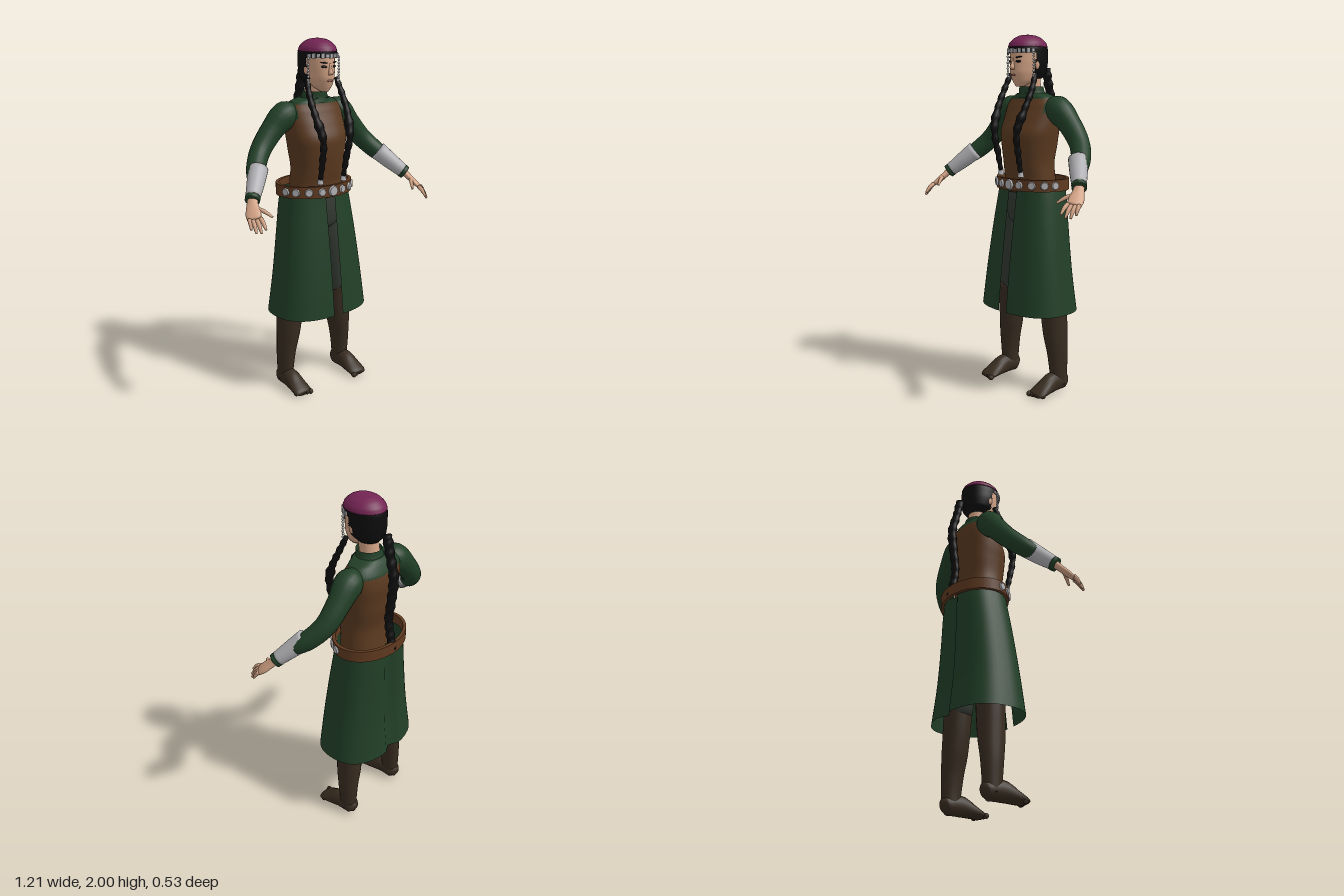
import * as THREE from 'three';

const mat = (name, color, side = THREE.FrontSide) => {
  const m = new THREE.MeshStandardMaterial({ color, side });
  m.name = name;
  return m;
};

export function createModel() {
  const root = new THREE.Group();
  root.name = 'dressedFigure';
  const M = {
    skin: mat('skin', 0xd2a284), lip: mat('lip', 0x9c6455), hair: mat('hair black', 0x0d0d0d, THREE.DoubleSide),
    cap: mat('cap plum', 0x732453), green: mat('dress green', 0x213f27, THREE.DoubleSide),
    vest: mat('vest brown', 0x5b3a20), belt: mat('belt leather', 0x603a20), silver: mat('silver', 0xb2b2b6),
    boot: mat('boot brown', 0x382c20), trouser: mat('trouser grey', 0x343a33),
  };
  const add = (name, geometry, material, x = 0, y = 0, z = 0, parent = root) => {
    const m = new THREE.Mesh(geometry, material);
    m.name = name;
    m.position.set(x, y, z);
    parent.add(m);
    return m;
  };

  // Lofts superelliptic rings through points [x, y, z, ru, rv].
  // flat: rings stay level; u: width direction; slit: half width of a front opening;
  // pick: material slot for a face (-1 drops it); warp: moves a vertex.
  function loft(pts, o = {}) {
    const { n = 20, steps = 4, p = 2, flat = false, bump = 0, slit = 0, pick, warp } = o;
    const path = new THREE.CatmullRomCurve3(pts.map(a => new THREE.Vector3(a[0], a[1], a[2])));
    const size = new THREE.CatmullRomCurve3(pts.map(a => new THREE.Vector3(a[3], a[4] ?? a[3], 0)));
    const count = (pts.length - 1) * steps, pos = [], cols = slit ? n + 1 : n;
    const pw = c => Math.sign(c) * Math.pow(Math.abs(c), 2 / p);
    for (let i = 0; i <= count; i++) {
      const t = i / count, c = path.getPoint(t), r = size.getPoint(t);
      const d = flat ? new THREE.Vector3(0, 1, 0) : path.getTangent(t);
      const u = new THREE.Vector3(...(o.u || [1, 0, 0]));
      u.addScaledVector(d, -u.dot(d)).normalize();
      const v = u.clone().cross(d);
      const k = 1 + bump * Math.sin(i * Math.PI / 2);
      const gap = slit ? Math.asin(Math.pow(slit / r.x, p / 2)) : 0;
      for (let j = 0; j < cols; j++) {
        const a = slit ? Math.PI / 2 + gap + (2 * Math.PI - 2 * gap) * j / n : 2 * Math.PI * j / n;
        const q = c.clone().addScaledVector(u, pw(Math.cos(a)) * r.x * k).addScaledVector(v, pw(Math.sin(a)) * r.y * k);
        if (warp) warp(q);
        pos.push(q.x, q.y, q.z);
      }
    }
    const slots = [[], []];
    const face = (a, b, c) => {
      const mid = k => (pos[a * 3 + k] + pos[b * 3 + k] + pos[c * 3 + k]) / 3;
      const s = pick ? pick(mid(0), mid(1), mid(2)) : 0;
      if (s >= 0) slots[s].push(a, b, c);
    };
    for (let i = 0; i < count; i++) for (let j = 0; j < n; j++) {
      const a = i * cols + j, b = i * cols + (j + 1) % cols;
      face(a, a + cols, b);
      face(b, a + cols, b + cols);
    }
    if (!slit && !o.open) {
      const e = count * cols, base = pos.length / 3;
      pos.push(...pts[0].slice(0, 3), ...pts[pts.length - 1].slice(0, 3));
      for (let j = 0; j < n; j++) {
        face(base, j, (j + 1) % n);
        face(base + 1, e + (j + 1) % n, e + j);
      }
    }
    const g = new THREE.BufferGeometry();
    g.setAttribute('position', new THREE.Float32BufferAttribute(pos, 3));
    g.setIndex([...slots[0], ...slots[1]]);
    g.addGroup(0, slots[0].length, 0);
    g.addGroup(slots[0].length, slots[1].length, 1);
    g.computeVertexNormals();
    return g;
  }

  // Torso: brown vest with green yoke and collar
  add('torso', loft([[0, 1.14, -.065, .16, .12], [0, 1.22, -.06, .155, .115], [0, 1.3, -.052, .15, .12],
    [0, 1.4, -.055, .16, .135], [0, 1.47, -.058, .17, .138], [0, 1.55, -.08, .175, .125],
    [0, 1.62, -.092, .173, .103], [0, 1.665, -.088, .14, .08], [0, 1.685, -.078, .085, .073]], {
    n: 40, steps: 6, p: 2.4, flat: true,
    pick: (x, y, z) => (y > 1.655 || (z < -.1 && y > 1.615) || (Math.abs(x) > .145 && y > 1.58) ? 1 : 0),
  }), [M.vest, M.green]);
  add('collar', loft([[0, 1.66, -.078, .095, .08], [0, 1.69, -.074, .075, .07], [0, 1.72, -.07, .068, .067]],
    { flat: true, open: true }), M.green);
  add('neck', loft([[0, 1.66, -.08, .057], [0, 1.72, -.072, .053], [0, 1.8, -.06, .055]], { flat: true }), M.skin);

  // Long skirt, slit in front and creased behind
  add('skirt', loft([[0, .47, -.055, .295, .21], [0, .7, -.055, .265, .186], [0, .95, -.066, .232, .166],
    [0, 1.1, -.076, .21, .155], [0, 1.18, -.078, .195, .148]], {
    n: 56, p: 2.5, flat: true, slit: .03,
    warp: q => { if (q.z < -.12) q.z += .035 * Math.exp(-((q.x / .035) ** 2)); },
  }), M.green);
  add('hips', loft([[0, .93, -.07, .06, .06], [0, .98, -.07, .15, .11], [0, 1.08, -.07, .17, .125],
    [0, 1.15, -.07, .165, .12]], { flat: true }), M.trouser);

  // Hollow belt ring with silver discs
  const ring = new THREE.Shape().absellipse(0, 0, .23, .178, 0, Math.PI * 2);
  ring.holes.push(new THREE.Path().absellipse(0, 0, .212, .16, 0, Math.PI * 2));
  const beltGeo = new THREE.ExtrudeGeometry(ring, { depth: .065, bevelEnabled: false, curveSegments: 40 });
  add('belt', beltGeo.rotateX(-Math.PI / 2), M.belt, 0, 1.155, -.08);
  for (const x of [0, -.07, .07, -.14, .14, -.195, .195, -.224, .224]) {
    const c = Math.sqrt(1 - (x / .23) ** 2), r = x ? .025 : .033;
    const disc = add('beltDisc', new THREE.CylinderGeometry(r * .8, r, .014, 8).rotateX(Math.PI / 2), M.silver,
      x, 1.188, -.08 + .178 * c + .003);
    disc.rotation.y = Math.atan2(x / .23 ** 2, c / .178);
  }

  // Head and face
  add('head', loft([[0, 1.722, .015, .02, .026], [0, 1.75, -.003, .05, .058], [0, 1.8, -.027, .071, .099],
    [0, 1.86, -.04, .08, .11], [0, 1.92, -.045, .082, .11], [0, 1.96, -.045, .06, .08]],
    { n: 32, flat: true }), M.skin);
  add('nose', loft([[0, 1.812, .065, .014, .008], [0, 1.822, .073, .015, .016], [0, 1.845, .069, .009, .012],
    [0, 1.872, .062, .006, .008]], { n: 10, flat: true }), M.skin);
  const dot = (name, m, x, y, z, a, b, c, ry = 0, rz = 0) => {
    const d = add(name, new THREE.SphereGeometry(1, 12, 8), m, x, y, z);
    d.scale.set(a, b, c);
    d.rotation.set(0, ry, rz);
  };
  dot('mouth', M.lip, 0, 1.782, .068, .02, .006, .006);
  for (const s of [-1, 1]) {
    dot('eye', M.hair, s * .034, 1.856, .06, .016, .007, .005, s * .45);
    dot('eyebrow', M.hair, s * .036, 1.878, .06, .02, .004, .005, s * .45, s * .12);
    dot('ear', M.skin, s * .086, 1.84, -.03, .01, .026, .016);
  }

  // Hair, open over the face, and the rounded cap
  add('hair', loft([[0, 1.765, -.07, .055, .06], [0, 1.8, -.06, .084, .098], [0, 1.86, -.05, .097, .114],
    [0, 1.92, -.045, .098, .118], [0, 1.955, -.043, .088, .106]], {
    n: 48, steps: 6, flat: true,
    pick: (x, y, z) => ((y < 1.9 && z > -.015) || (y < 1.8 && z > -.06 && Math.abs(x) < .05) ? -1 : 0),
  }), M.hair);
  add('cap', loft([[0, 1.932, -.043, .099, .119], [0, 1.955, -.043, .093, .109], [0, 1.98, -.043, .07, .083],
    [0, 1.995, -.043, .04, .05], [0, 2, -.043, .008, .01]], { n: 32, flat: true }), M.cap);

  // Silver headband and hanging side chains
  for (let i = -5; i <= 5; i++) {
    const a = i * .23, plate = add('headbandPlate', new THREE.BoxGeometry(.019, i % 2 ? .02 : .026, .008), M.silver,
      .1 * Math.sin(a), 1.912, -.045 + .122 * Math.cos(a));
    plate.rotation.y = a;
  }
  for (const s of [-1, 1]) {
    for (let i = 0; i < 8; i++) dot('chainBead', M.silver, s * (.102 + .002 * (i % 2)), 1.9 - i * .016, .012, .007, .007, .007);
    dot('earPendant', M.silver, s * .1, 1.77, .01, .01, .013, .008);
  }

  // Braids
  add('backBraid', loft([[0, 1.17, -.245, .018, .016], [0, 1.24, -.225, .024, .022], [0, 1.34, -.21, .026, .02],
    [0, 1.47, -.225, .026, .023], [0, 1.6, -.235, .028, .024], [0, 1.72, -.208, .028, .022],
    [0, 1.82, -.185, .026, .026]], { n: 12, steps: 8, bump: .12 }), M.hair);
  for (const s of [-1, 1]) {
    add('frontBraid', loft([[s * .08, 1.26, .088, .012], [s * .082, 1.36, .108, .017], [s * .09, 1.48, .126, .018],
      [s * .108, 1.6, .085, .018], [s * .11, 1.7, .035, .017], [s * .098, 1.79, -.005, .014]],
      { n: 10, steps: 8, bump: .15 }), M.hair);
    add('braidTip', new THREE.CylinderGeometry(.012, .018, .035, 8), M.silver, s * .08, 1.252, .087);
  }

  // Arms, cuffs and hands
  for (const s of [-1, 1]) {
    const arm = new THREE.Group();
    arm.name = s > 0 ? 'leftArm' : 'rightArm';
    root.add(arm);
    const part = (name, pts, m, o) => add(name, loft(pts.map(([x, ...r]) => [x * s, ...r]), o), m, 0, 0, 0, arm);
    part('sleeve', [[.12, 1.615, -.095, .05], [.185, 1.595, -.095, .076], [.262, 1.525, -.1, .063],
      [.35, 1.425, -.085, .056], [.415, 1.35, -.03, .052], [.46, 1.3, .03, .042]], M.green, { u: [0, 0, 1] });
    part('cuff', [[.415, 1.347, -.008, .053], [.468, 1.287, .046, .047], [.522, 1.228, .1, .038]], M.silver, { u: [0, 0, 1] });
    part('wristBand', [[.517, 1.233, .095, .04], [.53, 1.219, .108, .039]], M.green, { u: [0, 0, 1] });
    const u = [-.6 * s, 0, .8];
    part('palm', [[.522, 1.228, .1, .026, .022], [.54, 1.2, .125, .031, .018], [.558, 1.168, .16, .04, .016],
      [.57, 1.145, .188, .036, .011]], M.skin, { u });
    const fingers = [[.546, 1.152, .208, .55, 1.105, .262], [.563, 1.145, .2, .57, 1.088, .252],
      [.578, 1.143, .187, .588, 1.086, .233], [.589, 1.146, .172, .6, 1.1, .205], [.535, 1.19, .15, .483, 1.15, .222]];
    for (const [a, b, c, d, e, f] of fingers) part('finger', [[a, b, c, .012],
      [(a + d) / 2, (b + e) / 2 + .006, (c + f) / 2, .011], [d, e, f, .006]], M.skin, { n: 8, u });
  }

  // Legs, boots and toes
  for (const s of [-1, 1]) {
    const leg = new THREE.Group();
    leg.name = s > 0 ? 'leftLeg' : 'rightLeg';
    root.add(leg);
    const part = (name, pts, m, o) => add(name, loft(pts.map(([x, ...r]) => [x * s, ...r]), o), m, 0, 0, 0, leg);
    part('trouserLeg', [[.167, .53, -.08, .074], [.14, .7, -.075, .088], [.115, .87, -.07, .098], [.1, 1.02, -.07, .09]],
      M.trouser, { flat: true });
    part('bootShaft', [[.204, .04, -.095, .043, .05], [.203, .12, -.093, .046, .056], [.198, .22, -.09, .054, .064],
      [.185, .33, -.086, .066, .074], [.175, .45, -.083, .075, .077], [.167, .58, -.08, .08, .08]], M.boot, { flat: true });
    part('foot', [[.2, .04, -.15, .018, .025], [.202, .05, -.125, .044, .05], [.204, .058, -.04, .046, .057],
      [.205, .038, .03, .054, .038], [.205, .023, .08, .055, .022], [.205, .017, .1, .045, .013]], M.boot, {});
    for (let i = 0; i < 5; i++) {
      const toe = add('toe', new THREE.SphereGeometry(1, 8, 6), M.boot, s * (.163 + i * .021), .017, .1 - i * .007, leg);
      toe.scale.set(i ? .011 : .015, .016, .018);
    }
  }
  return root;
}
